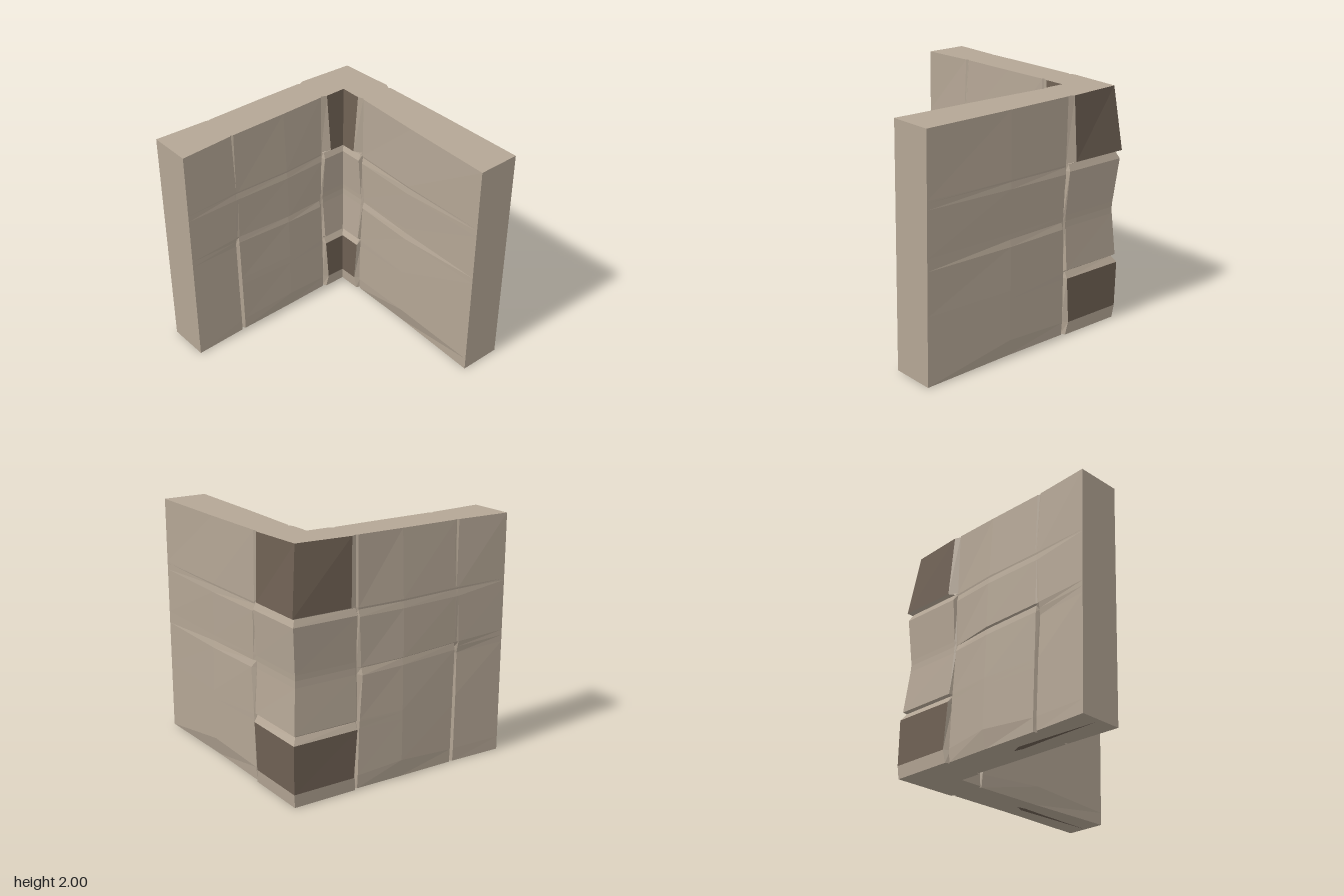
import * as THREE from 'three';

// Course heights shared by every upright section of the wall
const ROWS = [0, 0.11, 0.5, 0.555, 0.57, 0.93, 0.985, 1.03, 1.4, 1.455, 1.47, 2];
const TOP = ROWS.length - 1;

// Half thickness of the wall at each course, by kind of section
const HALF = {
  corner: [0.175, 0.185, 0.185, 0.155, 0.176, 0.15, 0.148, 0.15, 0.178, 0.155, 0.185, 0.16],
  cornerOuter: [0.178, 0.188, 0.19, 0.155, 0.178, 0.15, 0.148, 0.15, 0.18, 0.155, 0.19, 0.13],
  groove: ROWS.map(() => 0.14),
  edge: [0.157, 0.165, 0.168, 0.169, 0.169, 0.172, 0.155, 0.156, 0.164, 0.151, 0.154, 0.15],
  middle: [0.16, 0.198, 0.198, 0.198, 0.198, 0.193, 0.18, 0.18, 0.187, 0.18, 0.183, 0.17],
  sideMiddle: [0.165, 0.194, 0.195, 0.195, 0.195, 0.188, 0.178, 0.194, 0.188, 0.178, 0.181, 0.157],
  jointBack: [0.168, 0.172, 0.174, 0.174, 0.174, 0.174, 0.166, 0.18, 0.18, 0.172, 0.174, 0.158],
  joint: [0.14, 0.14, 0.14, 0.14, 0.14, 0.145, 0.15, 0.176, 0.18, 0.172, 0.174, 0.148],
  jointFront: [0.168, 0.171, 0.17, 0.17, 0.17, 0.16, 0.17, 0.181, 0.18, 0.173, 0.175, 0.159],
  end: ROWS.map(() => 0.184),
};
// Where the corner stones stop along each arm
const BLOCK_EDGE = [-0.43, -0.45, -0.42, -0.42, -0.42, -0.415, -0.415, -0.415, -0.42, -0.425, -0.48, -0.46];

// Sections along one arm, from the corner outwards: kind and distance at course j
const bulge = (j) => 0.035 * Math.max(0, 1 - Math.abs(ROWS[j] - 0.95) / 0.6);
const nearCorner = [
  ['corner', (j) => BLOCK_EDGE[j]],
  ['groove', (j) => -0.412 + 0.4 * bulge(j)],
  ['edge', (j) => -0.4 + bulge(j)],
];
const backArm = [...nearCorner, ['middle', () => 0.2], ['end', () => 1]];
const jointAt = (j) => 0.52 + (ROWS[j] < 1.2 ? 0.015 * ROWS[j] : 0);
const sideArm = [
  ...nearCorner,
  ['sideMiddle', () => 0],
  ['jointBack', (j) => jointAt(j) - 0.016],
  ['joint', jointAt],
  ['jointFront', (j) => jointAt(j) + 0.018],
  ['end', () => 1],
];

// Seams between the courses tilt gently along the arms
function rowHeight(j, s, kind, side) {
  let y = ROWS[j];
  if (j >= 8 && j <= 10) y -= 0.02 * Math.max(0, 1 - (s + 0.4) / 1.1);
  if (j === 1 && kind.toLowerCase().includes('middle')) y = 0.15;
  if (side && j >= 5 && j <= 7) {
    y += -0.045 + 0.04 * (s + 0.4);
    if (j < 7 && s < 0.53) y += 0.035;
  }
  return y;
}

// One section: outer and inner points for all courses
function armSection([kind, place], side) {
  const make = (sign) => ROWS.map((row, j) => {
    const s = place(j), atCorner = kind === 'corner' || kind === 'groove';
    const y = atCorner ? row : rowHeight(j, s, kind, side);
    const mid = side ? -0.804 : -0.8 + 0.009 * (s + 0.4);
    const across = mid + sign * HALF[kind][j];
    return side ? [across, y, s] : [s, y, across];
  });
  return { outer: make(-1), inner: make(1) };
}

function cornerSection() {
  const make = (sign, half) => ROWS.map((y, j) => [-0.802 + sign * half[j], y, -0.8 + sign * half[j]]);
  return { outer: make(-1, HALF.cornerOuter), inner: make(1, HALF.corner) };
}

// Dark sliver under an arm: distance along the arm and offset across it
const SLIVER = [[0.97, 0], [0.5, -0.02], [0.22, -0.03], [0.14, 0.01], [0.22, 0.025], [0.5, 0.012]];

export function createModel() {
  const group = new THREE.Group();
  const sandstone = new THREE.MeshStandardMaterial({ color: 0xb4a695 });
  sandstone.name = 'sandstone';
  const darkStone = new THREE.MeshStandardMaterial({ color: 0x6e6053 });
  darkStone.name = 'darkStone';
  sandstone.flatShading = darkStone.flatShading = true;

  const sections = [
    ...backArm.map((a) => armSection(a, false)).reverse(),
    cornerSection(),
    ...sideArm.map((a) => armSection(a, true)),
  ];
  const cornerIndex = backArm.length;
  const wall = [], stones = [];
  const quad = (list, a, b, c, d) => list.push(...a, ...b, ...c, ...a, ...c, ...d);

  for (let i = 0; i < sections.length - 1; i++) {
    const { outer: o, inner: n } = sections[i];
    const { outer: p, inner: m } = sections[i + 1];
    const atCorner = i === cornerIndex || i === cornerIndex - 1;
    for (let j = 0; j < TOP; j++) {
      // The top and bottom corner stones are dark
      const list = atCorner && (j === 1 || j === TOP - 1) ? stones : wall;
      quad(list, o[j], p[j], p[j + 1], o[j + 1]);
      quad(list, m[j], n[j], n[j + 1], m[j + 1]);
    }
    // Top and underside
    quad(wall, o[TOP], p[TOP], m[TOP], n[TOP]);
    quad(wall, n[0], m[0], p[0], o[0]);
  }
  // Flat ends of both arms
  const first = sections[0], last = sections[sections.length - 1];
  for (let j = 0; j < TOP; j++) {
    quad(wall, first.inner[j], first.outer[j], first.outer[j + 1], first.inner[j + 1]);
    quad(wall, last.outer[j], last.inner[j], last.inner[j + 1], last.outer[j + 1]);
  }

  for (const [name, list, material] of [['stoneWall', wall, sandstone], ['cornerStones', stones, darkStone]]) {
    const geometry = new THREE.BufferGeometry();
    geometry.setAttribute('position', new THREE.Float32BufferAttribute(list, 3));
    geometry.computeVertexNormals();
    const mesh = new THREE.Mesh(geometry, material);
    mesh.name = name;
    group.add(mesh);
  }

  // Dark slivers on the underside, facing down
  for (const side of [false, true]) {
    const points = SLIVER.map(([s, t]) => (side ? new THREE.Vector2(-0.81 + t, s) : new THREE.Vector2(s, -0.79 + t)));
    const sliver = new THREE.Mesh(new THREE.ShapeGeometry(new THREE.Shape(points)), darkStone);
    sliver.rotation.x = Math.PI / 2;
    sliver.position.y = -0.002;
    sliver.name = side ? 'sideUndersideSliver' : 'backUndersideSliver';
    group.add(sliver);
  }
  return group;
}
